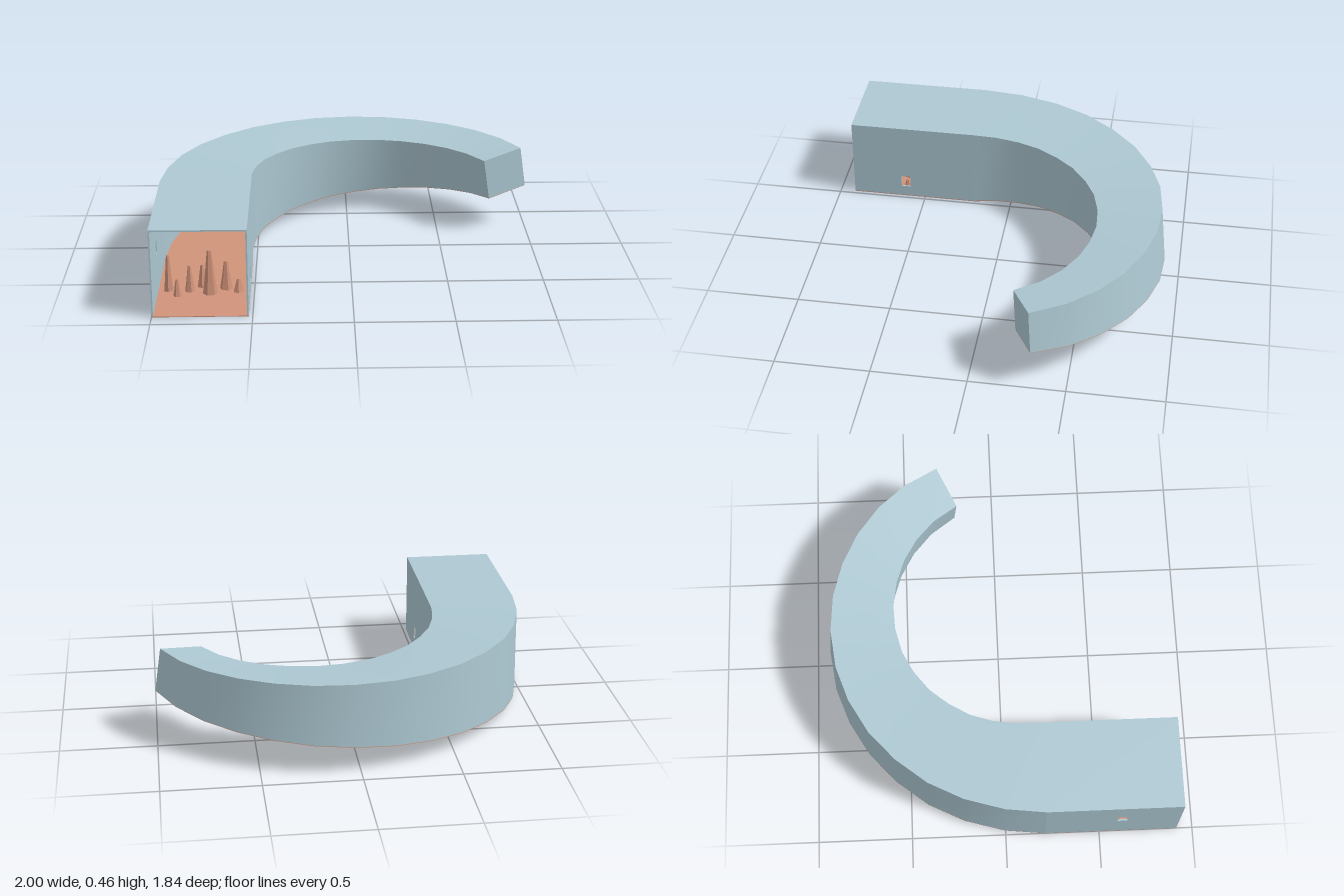
import * as THREE from 'three';
import { toCreasedNormals } from 'three/addons/utils/BufferGeometryUtils.js';

const W = 0.48, H = 0.46, T = 0.008, FLOOR = 0.004;
const FRONT = 0.915, BEND = 0.21;

// Lower outer edge of the bend, x and z
const OUTER = [
  [-1, BEND], [-0.98, -0.005], [-0.922, -0.218], [-0.832, -0.405], [-0.702, -0.575],
  [-0.55, -0.715], [-0.37, -0.822], [-0.18, -0.891], [0.03, -0.92], [0.235, -0.908],
  [0.43, -0.855], [0.607, -0.77], [0.768, -0.65], [0.9, -0.5], [1, -0.318],
];

// Cross-section frame: the tunnel shrinks, climbs and banks along the bend
function section(x, z, t) {
  const angle = THREE.MathUtils.degToRad(154 * t);
  const roll = THREE.MathUtils.degToRad(9.7 * t);
  const scale = 1 - 0.5 * t;
  const inward = new THREE.Vector3(Math.cos(angle), 0, Math.sin(angle));
  const up = new THREE.Vector3(0, 1, 0);
  return {
    scale,
    origin: new THREE.Vector3(x, 0.21 * t + 0.5 * W * scale * Math.sin(roll), z),
    heading: new THREE.Vector3(Math.sin(angle), 0, -Math.cos(angle)),
    across: inward.clone().multiplyScalar(Math.cos(roll)).addScaledVector(up, -Math.sin(roll)),
    rise: inward.clone().multiplyScalar(Math.sin(roll)).addScaledVector(up, Math.cos(roll)),
  };
}

// Sweep a rectangular bar through a list of cross-sections
function sweep(sections, u0, u1, v0, v1) {
  const positions = [], index = [];
  for (const s of sections) {
    for (const [u, v] of [[u0, v0], [u1, v0], [u1, v1], [u0, v1]]) {
      const p = s.origin.clone()
        .addScaledVector(s.across, u * s.scale)
        .addScaledVector(s.rise, v * s.scale);
      positions.push(p.x, p.y, p.z);
    }
  }
  const last = (sections.length - 1) * 4;
  for (let i = 0; i < last; i += 4) {
    for (let j = 0; j < 4; j++) {
      const a = i + j, b = i + (j + 1) % 4;
      index.push(a, a + 4, b + 4, a, b + 4, b);
    }
  }
  index.push(0, 1, 2, 0, 2, 3, last, last + 2, last + 1, last, last + 3, last + 2);
  const geometry = new THREE.BufferGeometry();
  geometry.setAttribute('position', new THREE.Float32BufferAttribute(positions, 3));
  geometry.setIndex(index);
  return toCreasedNormals(geometry, 0.5);
}

// Straight wall with a small window; x is the wall's +x face
function windowWall(x, windowY) {
  const shape = new THREE.Shape();
  shape.moveTo(BEND, FLOOR).lineTo(FRONT, FLOOR).lineTo(FRONT, H).lineTo(BEND, H).closePath();
  const hole = new THREE.Path();
  const z0 = 0.585, z1 = 0.637, y0 = windowY - 0.034, y1 = windowY + 0.034;
  hole.moveTo(z0, y0).lineTo(z0, y1).lineTo(z1, y1).lineTo(z1, y0).closePath();
  shape.holes.push(hole);
  return new THREE.ExtrudeGeometry(shape, { depth: T, bevelEnabled: false })
    .rotateY(-Math.PI / 2).translate(x, 0, 0);
}

export function createModel() {
  const model = new THREE.Group();
  model.name = 'curvedTunnel';
  const wallBlue = new THREE.MeshStandardMaterial({ name: 'paleBlue', color: 0xadc8d2 });
  const clay = new THREE.MeshStandardMaterial({ name: 'clay', color: 0xd0937a });

  const add = (name, geometry, material, parent = model) => {
    const mesh = new THREE.Mesh(geometry, material);
    mesh.name = name;
    parent.add(mesh);
    return mesh;
  };

  const bend = OUTER.map(([x, z], i) => section(x, z, i / (OUTER.length - 1)));
  const whole = [section(-1, FRONT, 0), ...bend];

  // Shell
  add('floor', sweep(whole, 0, W, 0, FLOOR), clay);
  add('roof', sweep(whole, T, W - T, H - T, H), wallBlue);
  add('outerBendWall', sweep(bend, 0, T, FLOOR, H), wallBlue);
  add('innerBendWall', sweep(bend, W - T, W, FLOOR, H), wallBlue);
  add('outerStraightWall', windowWall(-1 + T, 0.25), wallBlue);
  add('innerStraightWall', windowWall(-1 + W, 0.1), wallBlue);

  // Closed far end
  const end = bend[bend.length - 1];
  const inset = { ...end, origin: end.origin.clone().addScaledVector(end.heading, -T) };
  add('endWall', sweep([inset, end], T, W - T, FLOOR, H - T), wallBlue);

  // Stalagmites: x, z, height, base radius
  const spikes = new THREE.Group();
  spikes.name = 'stalagmites';
  model.add(spikes);
  [
    [-0.94, 0.59, 0.195, 0.026], [-0.89, 0.66, 0.09, 0.022], [-0.83, 0.6, 0.14, 0.026],
    [-0.77, 0.54, 0.12, 0.028], [-0.725, 0.63, 0.235, 0.038], [-0.645, 0.57, 0.15, 0.034],
    [-0.58, 0.61, 0.07, 0.03], [-0.575, 0.61, 0.13, 0.028],
  ].slice(0, 7).forEach(([x, z, h, r], i) => {
    const profile = [[r, 0], [r * 0.75, h * 0.3], [r * 0.5, h * 0.7], [r * 0.3, h], [0, h]]
      .map(([px, py]) => new THREE.Vector2(px, py));
    const geometry = toCreasedNormals(new THREE.LatheGeometry(profile, 6), 0.3);
    const spike = add('stalagmite' + (i + 1), geometry, clay, spikes);
    spike.position.set(x, FLOOR, z);
    spike.rotation.y = i * 0.7;
  });

  return model;
}
